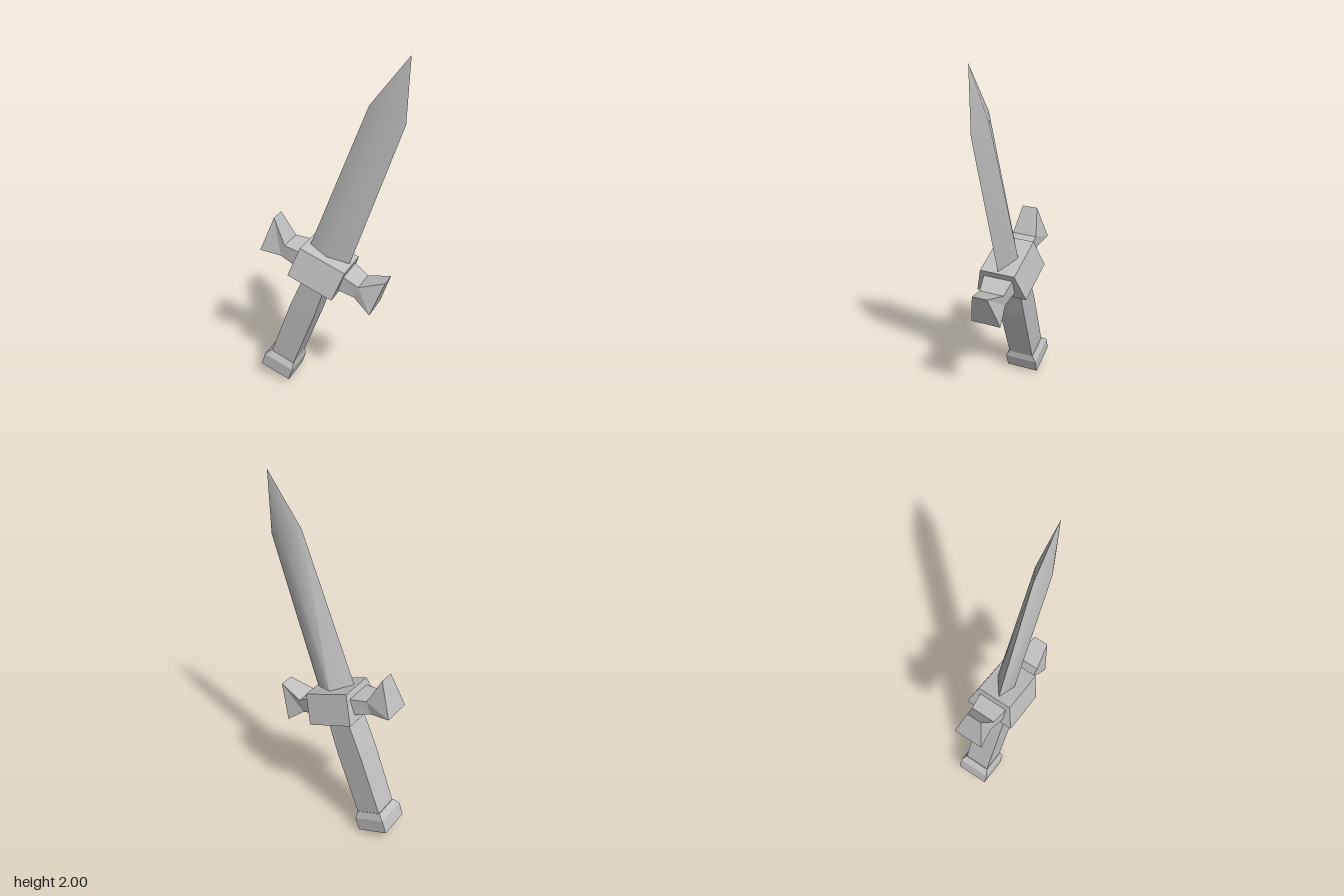
import * as THREE from 'three';
import { toCreasedNormals } from 'three/addons/utils/BufferGeometryUtils.js';

// Skin a series of four-point rings and cap both ends, skipping collapsed triangles
function loft(rings) {
  const pos = [];
  const tri = (a, b, c) => {
    const same = (p, q) => p.every((n, i) => n === q[i]);
    if (!same(a, b) && !same(b, c) && !same(c, a)) pos.push(...a, ...b, ...c);
  };
  const quad = (a, b, c, d) => { tri(a, b, c); tri(a, c, d); };
  for (let r = 0; r < rings.length - 1; r++) {
    const lo = rings[r], hi = rings[r + 1];
    for (let i = 0; i < 4; i++) {
      const j = (i + 1) % 4;
      quad(lo[i], lo[j], hi[j], hi[i]);
    }
  }
  quad(...[...rings[0]].reverse());
  quad(...rings[rings.length - 1]);
  const geo = new THREE.BufferGeometry();
  geo.setAttribute('position', new THREE.Float32BufferAttribute(pos, 3));
  geo.computeVertexNormals();
  return geo;
}

// Rectangular ring at height y: centre x, half width, half depth
const rect = (y, cx, w, d) => [[cx - w, y, d], [cx + w, y, d], [cx + w, y, -d], [cx - w, y, -d]];

// Diamond ring: left edge, front ridge, right edge, back ridge
const diamond = (y, left, right, front, back, edgeZ = 0) =>
  [[left, y, edgeZ], [0, y, front], [right, y, 0], [0, y, back]];

export function createModel() {
  const steel = new THREE.MeshStandardMaterial({ color: 0xc0c0c0 });
  steel.name = 'steel grey';
  const dagger = new THREE.Group();
  dagger.name = 'dagger';
  const add = (name, geo) => {
    const mesh = new THREE.Mesh(geo, steel);
    mesh.name = name;
    dagger.add(mesh);
  };

  // Blade: softly rounded ridge, sharp edges
  add('blade', toCreasedNormals(loft([
    diamond(0.08, -0.113, 0.125, 0.047, -0.065, 0.015),
    diamond(0.957, -0.098, 0.105, 0.045, -0.047),
    diamond(1.276, 0, 0, 0, 0),
  ]), Math.PI / 3));

  // Guard block, deeper at the bottom
  add('guardBlock', loft([rect(-0.0825, 0, 0.138, 0.145), rect(0.0825, 0, 0.138, 0.1)]));

  // Flared guard arms: [x, bottom, top, bottom half depth, top half depth]
  for (const side of [1, -1]) {
    const tilt = side * -0.009;
    const rings = [
      [0.13, -0.047, 0.048, 0.085, 0.085],
      [0.231, -0.048, 0.026, 0.068, 0.07],
      [0.349, -0.08 + tilt, 0.125 + tilt, 0.085, 0.043],
    ].map(([x, lo, hi, dl, dh]) => {
      const ring = [[side * x, lo, dl], [side * x, lo, -dl], [side * x, hi, -dh], [side * x, hi, dh]];
      return side > 0 ? ring : ring.reverse();
    });
    add(side > 0 ? 'leftGuardArm' : 'rightGuardArm', loft(rings));
  }

  // Grip with a slight swell
  add('grip', loft([
    rect(-0.7, -0.006, 0.074, 0.074),
    rect(-0.315, -0.003, 0.076, 0.077),
    rect(-0.08, 0, 0.066, 0.075),
  ]));

  // Chamfered pommel
  add('pommel', loft([
    rect(-0.836, -0.011, 0.055, 0.055),
    rect(-0.802, -0.01, 0.094, 0.095),
    rect(-0.724, -0.012, 0.094, 0.095),
    rect(-0.688, -0.008, 0.076, 0.076),
  ]));

  // Lean the whole dagger and stand it on the ground
  dagger.rotation.z = -THREE.MathUtils.degToRad(20);
  dagger.position.set(-0.033, 0.8, 0);
  const model = new THREE.Group();
  model.name = 'leaningDagger';
  model.add(dagger);
  return model;
}
